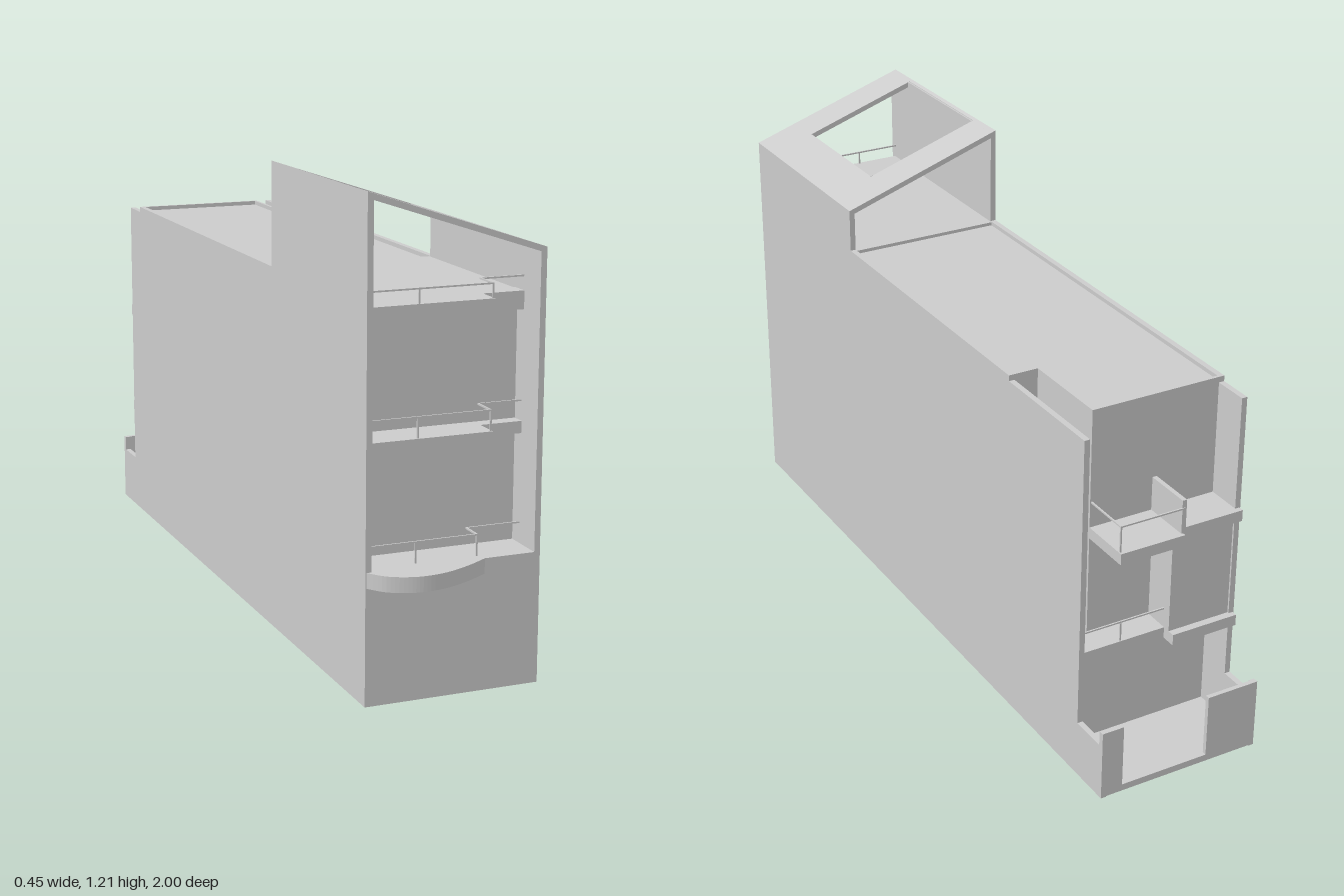
import * as THREE from 'three';

const material = new THREE.MeshStandardMaterial({ color: 0xcccccc, flatShading: true, side: THREE.DoubleSide });

export function createModel() {
  const model = new THREE.Group();

  const add = (name, geometry) => {
    const mesh = new THREE.Mesh(geometry, material);
    mesh.name = name;
    model.add(mesh);
    return mesh;
  };

  // Box given by its limits on each axis
  const box = (name, x0, x1, y0, y1, z0, z1) => {
    const g = new THREE.BoxGeometry(x1 - x0, y1 - y0, z1 - z0);
    g.translate((x0 + x1) / 2, (y0 + y1) / 2, (z0 + z1) / 2);
    return add(name, g);
  };

  // Flat plate from [x, z] outline points, standing at height y
  const plate = (points, y, height, hole) => {
    const toShape = p => new THREE.Vector2(p[0], -p[1]);
    const shape = new THREE.Shape(points.map(toShape));
    if (hole) shape.holes.push(new THREE.Path(hole.map(toShape)));
    const g = new THREE.ExtrudeGeometry(shape, { depth: height, bevelEnabled: false });
    g.rotateX(-Math.PI / 2);
    g.translate(0, y, 0);
    return g;
  };

  // Thin handrail through [x, z] points, with posts down to the floor
  const railing = (name, points, floor, top, posts = []) => {
    const t = 0.004;
    for (let i = 1; i < points.length; i++) {
      const [a, b] = [points[i - 1], points[i]];
      const length = Math.hypot(b[0] - a[0], b[1] - a[1]);
      const g = new THREE.BoxGeometry(length + t, t, t);
      g.rotateY(-Math.atan2(b[1] - a[1], b[0] - a[0]));
      g.translate((a[0] + b[0]) / 2, top - t / 2, (a[1] + b[1]) / 2);
      add(name, g);
    }
    for (const [x, z] of posts) box(name + 'Post', x - t / 2, x + t / 2, floor, top, z - t / 2, z + t / 2);
  };

  // Party walls: tall under the roof frame, low around the patio
  const sideWall = (name, x, peak, stepZ) => {
    const profile = [
      [0.93, 0], [0.93, peak], [0.325, peak], [0.325, 0.945], [stepZ, 0.945], [stepZ, 0.93],
      [-0.885, 0.93], [-0.885, 0.15], [-0.985, 0.15], [-0.985, 0.19], [-1, 0.19], [-1, 0],
    ];
    const shape = new THREE.Shape(profile.map(([z, y]) => new THREE.Vector2(-z, y)));
    const g = new THREE.ExtrudeGeometry(shape, { depth: 0.015, bevelEnabled: false });
    g.rotateY(Math.PI / 2);
    g.translate(x, 0, 0);
    add(name, g);
  };
  sideWall('leftWall', 0.21, 1.055, -0.54);
  sideWall('rightWall', -0.225, 1.205, -0.79);

  // Upper storeys, notched at the back left for the light shaft
  add('upperStoreys', plate(
    [[-0.211, 0.815], [0.211, 0.815], [0.211, -0.54], [0.145, -0.54], [0.145, -0.79], [-0.211, -0.79]],
    0.3, 0.634));

  // Roof edge strips
  box('roofEdge', -0.21, 0.145, 0.93, 0.945, -0.79, -0.782);
  box('roofEdge', 0.137, 0.145, 0.93, 0.945, -0.782, -0.54);
  box('roofEdge', 0.137, 0.21, 0.93, 0.945, -0.54, -0.532);

  // Sloping roof frame with a rectangular opening
  const roof = plate(
    [[-0.225, 0.93], [0.225, 0.93], [0.225, 0.325], [-0.225, 0.325]], 0, 0.015,
    [[-0.215, 0.82], [0.105, 0.82], [0.105, 0.435], [-0.215, 0.435]]);
  const pos = roof.attributes.position;
  for (let i = 0; i < pos.count; i++) pos.setY(i, pos.getY(i) + 1.195 - (pos.getX(i) + 0.225) / 3);
  roof.computeVertexNormals();
  add('roofFrame', roof);

  // Ground storey: front wall, back wall and patio floor
  box('groundFrontWall', -0.21, 0.21, 0, 0.3, 0.915, 0.93);
  box('groundBackWall', -0.21, 0.21, 0.01, 0.3, -0.79, -0.775);
  box('patioFloor', -0.21, 0.21, 0.002, 0.02, -1, -0.6);

  // Bowed first-floor balcony
  const bow = new THREE.SplineCurve([
    [-0.222, 0.93], [-0.19, 0.97], [-0.145, 0.993], [-0.1, 1], [-0.045, 0.992], [0.02, 0.965], [0.08, 0.93],
  ].map(p => new THREE.Vector2(...p))).getPoints(30).map(p => [p.x, p.y]);
  add('bowedBalcony', plate([...bow, [0.21, 0.93], [0.21, 0.8], [-0.21, 0.8], [-0.21, 0.93]], 0.29, 0.038));
  railing('frontRailing', [[-0.21, 0.905], [0.07, 0.905], [0.07, 0.85], [0.21, 0.85]], 0.328, 0.382,
    [[-0.088, 0.905], [0.07, 0.905]]);

  // Stepped balconies on the two upper levels
  for (const [y0, y1, top] of [[0.6, 0.63, 0.682], [0.9, 0.945, 0.982]]) {
    add('frontBalcony', plate(
      [[-0.21, 0.915], [0.102, 0.915], [0.102, 0.85], [0.21, 0.85], [0.21, 0.8], [-0.21, 0.8]], y0, y1 - y0));
    railing('frontRailing', [[-0.21, 0.91], [0.098, 0.91], [0.098, 0.845], [0.21, 0.845]], y1, top,
      [[-0.088, 0.91], [0.098, 0.91]]);
  }
  box('roofTerrace', -0.211, 0.211, 0.93, 0.943, 0.32, 0.82);

  // Back bay between its floor and roof slabs
  box('backBay', -0.211, -0.035, 0.32, 0.605, -0.88, -0.78);
  box('baySlab', -0.222, -0.035, 0.3, 0.33, -0.9, -0.78);
  box('baySlab', -0.222, -0.035, 0.6, 0.63, -0.9, -0.78);

  // Back balconies with railings and a dividing screen
  box('backBalcony', -0.035, 0.145, 0.6, 0.63, -0.93, -0.78);
  box('balconyScreen', -0.042, -0.03, 0.63, 0.72, -0.92, -0.79);
  railing('backRailing', [[-0.035, -0.92], [0.141, -0.92], [0.141, -0.79]], 0.63, 0.7, [[0.141, -0.92]]);
  box('lowerBackBalcony', -0.035, 0.211, 0.29, 0.33, -0.86, -0.53);
  railing('backRailing', [[-0.035, -0.855], [0.21, -0.855]], 0.33, 0.385, [[0.09, -0.855]]);

  // Patio fence panels either side of the opening
  box('patioFence', -0.212, -0.08, 0.01, 0.19, -1, -0.988);
  box('patioFence', 0.165, 0.212, 0.01, 0.19, -1, -0.988);

  return model;
}
